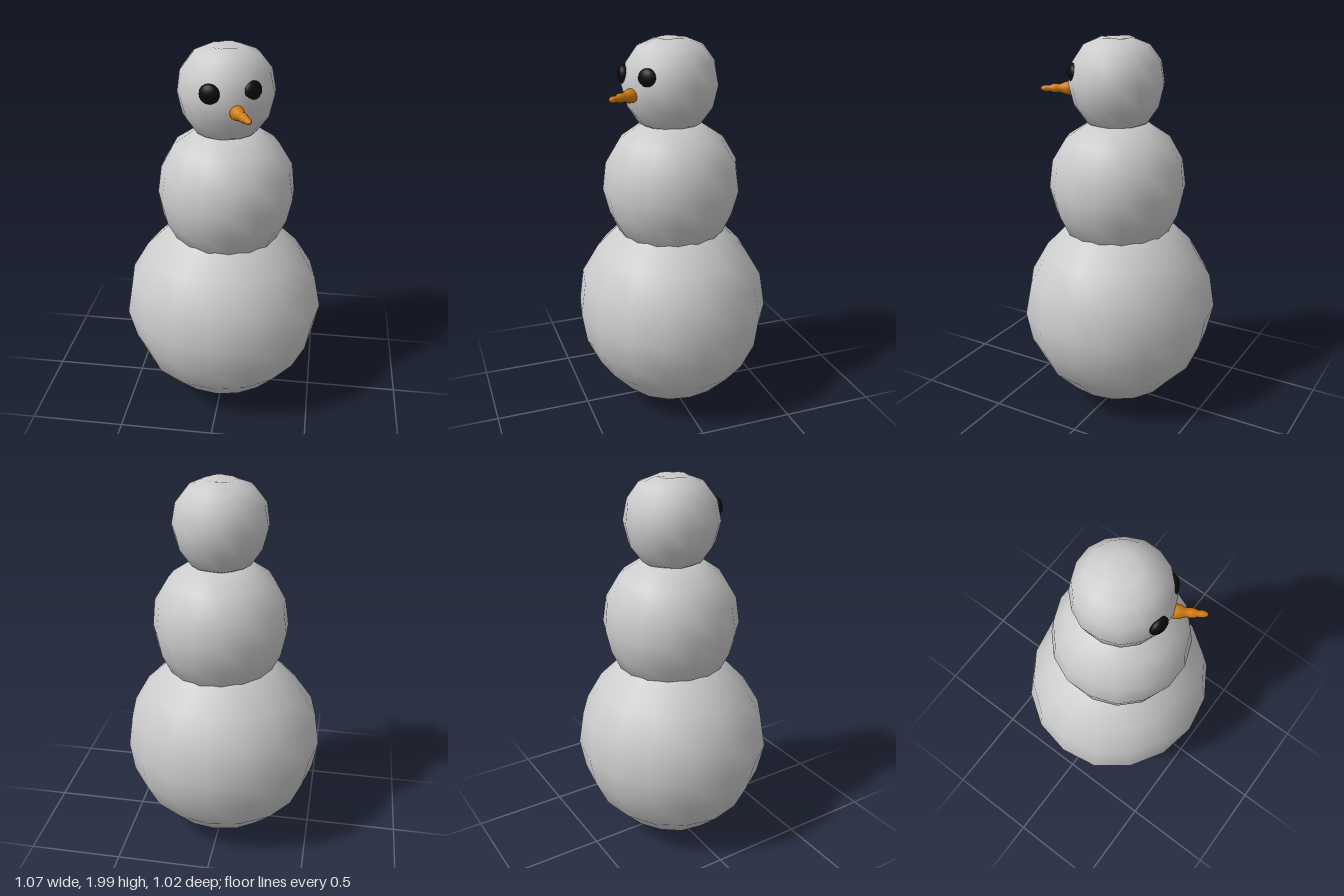
import * as THREE from 'three';
import { mergeVertices } from 'three/addons/utils/BufferGeometryUtils.js';

const snow = new THREE.MeshStandardMaterial({ color: 0xcccccc });
const coal = new THREE.MeshStandardMaterial({ color: 0x0a0a0a });
const carrot = new THREE.MeshStandardMaterial({ color: 0xd07a0a });

const toPoints = (list) => list.map(([r, y]) => new THREE.Vector2(r, y));

function seeded(seed) {
  return () => {
    seed = (seed * 16807) % 2147483647;
    return seed / 2147483647 - 0.5;
  };
}

// A hand-rolled ball: a 16-sided turned profile with small smooth lumps
function snowball(name, profile, { x = 0, z = 0, turn = 0, scaleX = 1, scaleZ = 1, lump, seed }) {
  let geometry = new THREE.LatheGeometry(toPoints(profile), 16, turn);
  geometry.deleteAttribute('normal');
  geometry.deleteAttribute('uv');
  geometry = mergeVertices(geometry);
  const random = seeded(seed);
  const position = geometry.attributes.position;
  for (let i = 0; i < position.count; i++) {
    const k = 1 + random() * lump;
    position.setXYZ(i,
      position.getX(i) * k * scaleX + x,
      position.getY(i) + random() * lump * 0.25,
      position.getZ(i) * k * scaleZ + z);
  }
  geometry.computeVertexNormals();
  const mesh = new THREE.Mesh(geometry, snow);
  mesh.name = name;
  return mesh;
}

// Flattened coal button, facing outward at the given angle about y
function eye(name, x, y, z, angle) {
  const mesh = new THREE.Mesh(new THREE.SphereGeometry(1, 16, 12), coal);
  mesh.scale.set(0.051, 0.049, 0.03);
  mesh.position.set(x, y, z);
  mesh.rotation.y = angle;
  mesh.name = name;
  return mesh;
}

export function createModel() {
  const model = new THREE.Group();
  model.name = 'snowman';

  // Three stacked snowballs
  model.add(snowball('body', [
    [0, 0.005], [0.13, 0.03], [0.3, 0.105], [0.43, 0.24], [0.5, 0.39], [0.53, 0.55],
    [0.5, 0.73], [0.41, 0.88], [0.28, 1.01], [0.14, 1.06], [0, 1.07],
  ], { scaleX: 1.015, scaleZ: 0.97, lump: 0.02, seed: 11 }));
  model.add(snowball('torso', [
    [0, 0.88], [0.15, 0.9], [0.27, 0.98], [0.33, 1.1], [0.36, 1.23],
    [0.34, 1.37], [0.27, 1.49], [0.16, 1.565], [0, 1.59],
  ], { x: 0.015, z: 0.005, turn: 0.18, lump: 0.025, seed: 23 }));
  model.add(snowball('head', [
    [0, 1.52], [0.08, 1.53], [0.16, 1.575], [0.22, 1.66], [0.245, 1.77],
    [0.225, 1.88], [0.165, 1.96], [0.08, 1.995], [0, 1.985],
  ], { x: 0.015, z: 0.01, turn: -0.19, lump: 0.025, seed: 37 }));

  // Eyes
  model.add(eye('rightEye', -0.035, 1.82, 0.24, -0.18));
  model.add(eye('leftEye', 0.16, 1.825, 0.175, 0.72));

  // Knobbly carrot nose, turned along its length
  const noseProfile = toPoints([
    [0, -0.02], [0.03, -0.015], [0.036, 0.005], [0.034, 0.025], [0.026, 0.045],
    [0.021, 0.06], [0.024, 0.075], [0.023, 0.09], [0.016, 0.108], [0.017, 0.122],
    [0.016, 0.138], [0.009, 0.152], [0, 0.157],
  ]);
  const noseGeometry = new THREE.LatheGeometry(noseProfile, 16);
  noseGeometry.rotateX(Math.PI / 2);
  const nose = new THREE.Mesh(noseGeometry, carrot);
  nose.name = 'nose';
  nose.position.set(0.092, 1.735, 0.235);
  nose.rotation.y = 0.53;
  model.add(nose);

  return model;
}
